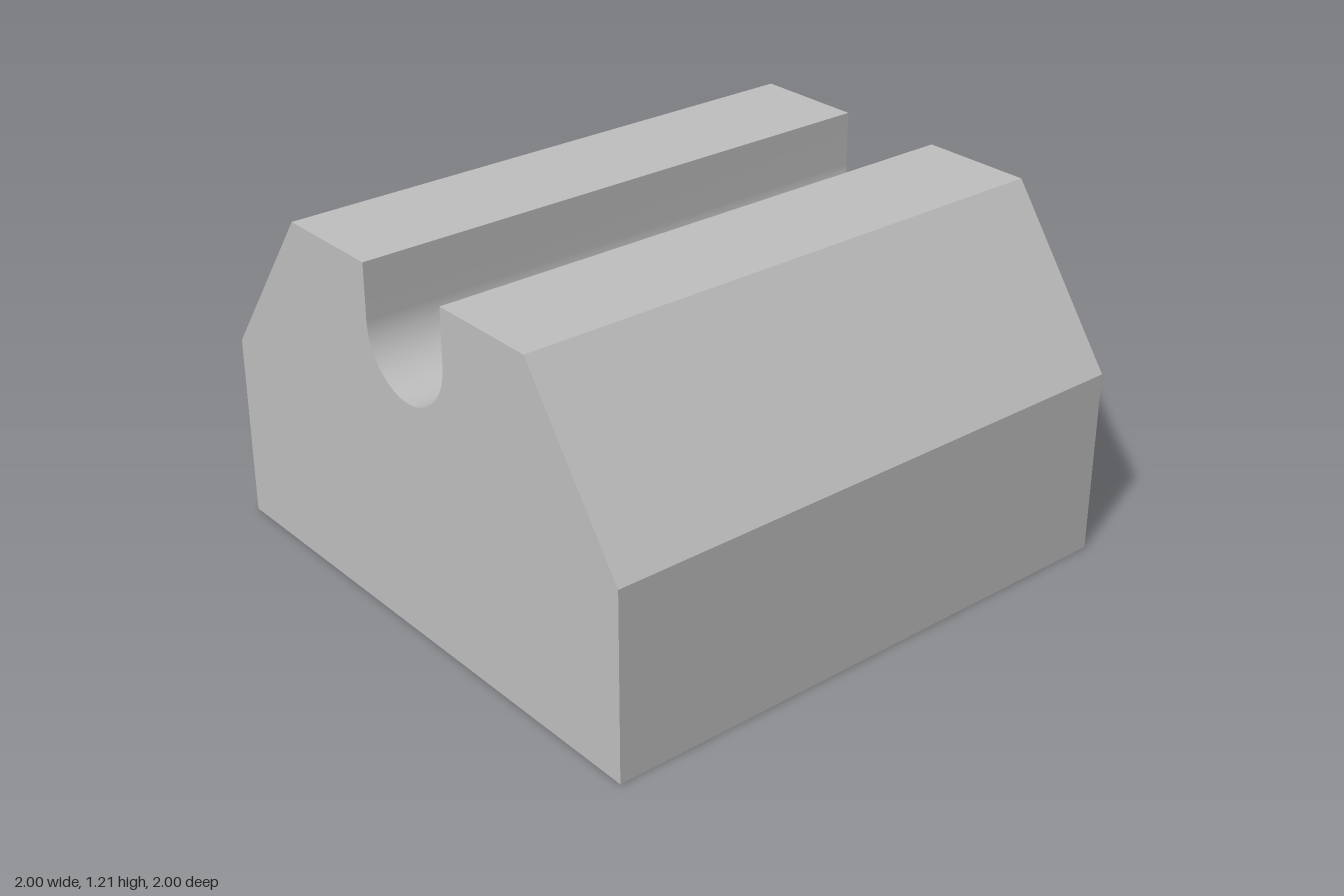
import * as THREE from 'three';
import { toCreasedNormals } from 'three/addons/utils/BufferGeometryUtils.js';

const WIDTH = 2, DEPTH = 2, TOP = 1.205, SHOULDER = 0.65;
const GROOVE_R = 0.2, GROOVE_Y = 1.015;
const POCKET = 1.2, POCKET_DEPTH = 0.4;

// Removes the faces lying on y = 0; can also turn the shell inside out.
function openBottom(geometry, inward = false) {
  const src = geometry.index ? geometry.toNonIndexed() : geometry;
  const p = src.attributes.position;
  const out = [];
  for (let i = 0; i < p.count; i += 3) {
    if ([0, 1, 2].every(k => Math.abs(p.getY(i + k)) < 1e-5)) continue;
    for (const k of inward ? [0, 2, 1] : [0, 1, 2]) {
      out.push(p.getX(i + k), p.getY(i + k), p.getZ(i + k));
    }
  }
  const g = new THREE.BufferGeometry();
  g.setAttribute('position', new THREE.Float32BufferAttribute(out, 3));
  g.computeVertexNormals();
  return toCreasedNormals(g, Math.PI / 6);
}

function squarePath(path, w, d) {
  path.moveTo(-w / 2, -d / 2);
  path.lineTo(w / 2, -d / 2);
  path.lineTo(w / 2, d / 2);
  path.lineTo(-w / 2, d / 2);
  path.closePath();
  return path;
}

export function createModel() {
  const group = new THREE.Group();
  group.name = 'groovedBlock';
  const grey = new THREE.MeshStandardMaterial({ color: 0xc0c0c0 });
  grey.name = 'lightGrey';

  const add = (name, geometry) => {
    const mesh = new THREE.Mesh(geometry, grey);
    mesh.name = name;
    group.add(mesh);
  };

  // Block with sloping shoulders and a round-bottomed groove along z
  const profile = new THREE.Shape();
  profile.moveTo(-WIDTH / 2, 0);
  profile.lineTo(WIDTH / 2, 0);
  profile.lineTo(WIDTH / 2, SHOULDER);
  profile.lineTo(0.6, TOP);
  profile.lineTo(GROOVE_R, TOP);
  profile.lineTo(GROOVE_R, GROOVE_Y);
  profile.absarc(0, GROOVE_Y, GROOVE_R, 0, -Math.PI, true);
  profile.lineTo(-GROOVE_R, TOP);
  profile.lineTo(-0.6, TOP);
  profile.lineTo(-WIDTH / 2, SHOULDER);
  profile.closePath();
  const body = new THREE.ExtrudeGeometry(profile, {
    depth: DEPTH, bevelEnabled: false, curveSegments: 32,
  });
  body.translate(0, 0, -DEPTH / 2);
  add('body', openBottom(body));

  // Underside with a square opening
  const underside = squarePath(new THREE.Shape(), WIDTH, DEPTH);
  underside.holes.push(squarePath(new THREE.Path(), POCKET, POCKET));
  add('underside', new THREE.ShapeGeometry(underside).rotateX(Math.PI / 2));

  // Walls and ceiling of the pocket, facing inward
  const pocket = new THREE.BoxGeometry(POCKET, POCKET_DEPTH, POCKET);
  pocket.translate(0, POCKET_DEPTH / 2, 0);
  add('pocket', openBottom(pocket, true));

  return group;
}
